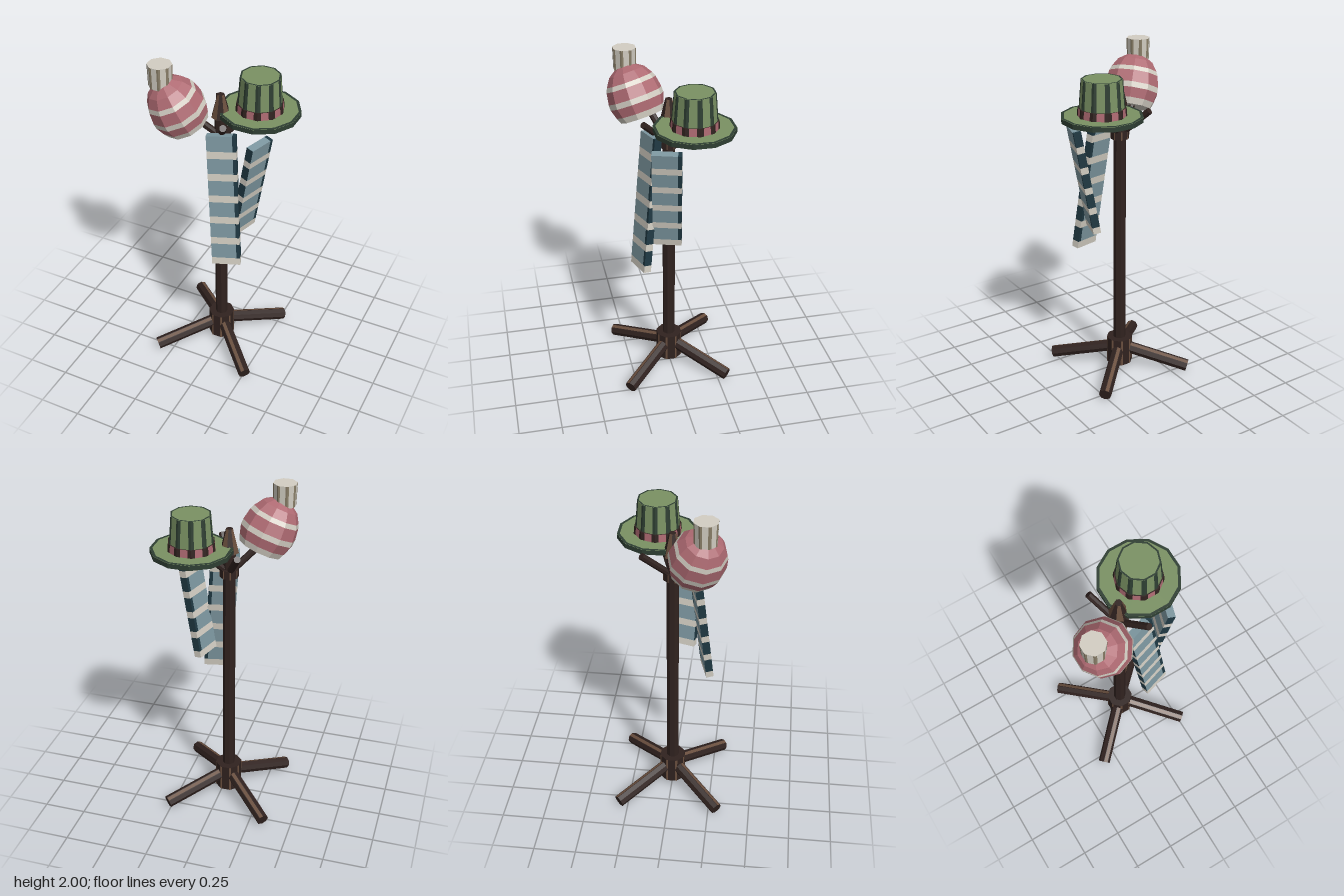
import * as THREE from 'three';

const mat = (name, color) => {
  const m = new THREE.MeshStandardMaterial({ color });
  m.name = name;
  return m;
};
const M = {
  darkWood: mat('dark wood', 0x30221f),
  wood: mat('worn wood', 0x6a4f3e),
  green: mat('green felt', 0x7a9163),
  darkGreen: mat('dark green felt', 0x2e3e32),
  pink: mat('pink wool', 0xae6a72),
  cream: mat('cream wool', 0xd2cdc2),
  taupe: mat('taupe wool', 0x8a7f69),
  blue: mat('blue knit', 0x7d97a0),
  darkBlue: mat('dark blue knit', 0x1f3842),
};
const V = (x, y, z) => new THREE.Vector3(x, y, z);
const PX = -0.035; // pole position in x

function add(parent, name, geo, material, x = 0, y = 0, z = 0) {
  const mesh = new THREE.Mesh(geo, material);
  mesh.name = name;
  mesh.position.set(x, y, z);
  parent.add(mesh);
  return mesh;
}

// Faceted frustum on y = 0..h; each facet has edge strips of relative width e.
// pick(facet, column) returns the slot: 0 face, 1 accent, 2 cap.
function panels(n, rb, rt, h, e, pick = (i, k) => (k === 1 ? 0 : 1), rot = 0) {
  const lists = [[], [], []];
  const corner = (i, r, y) => {
    const a = rot + (i / n) * Math.PI * 2;
    return V(Math.sin(a) * r, y, Math.cos(a) * r);
  };
  const put = (slot, ...pts) => pts.forEach((p) => lists[slot].push(p.x, p.y, p.z));
  const cuts = e > 0 ? [0, e, 1 - e, 1] : [0, 1];
  for (let i = 0; i < n; i++) {
    const b0 = corner(i, rb, 0), b1 = corner(i + 1, rb, 0);
    const t0 = corner(i, rt, h), t1 = corner(i + 1, rt, h);
    for (let k = 0; k < cuts.length - 1; k++) {
      const a = b0.clone().lerp(b1, cuts[k]), b = b0.clone().lerp(b1, cuts[k + 1]);
      const c = t0.clone().lerp(t1, cuts[k + 1]), d = t0.clone().lerp(t1, cuts[k]);
      put(pick(i, k), a, b, c, a, c, d);
    }
    put(2, V(0, h, 0), t0, t1, V(0, 0, 0), b1, b0);
  }
  const geo = new THREE.BufferGeometry();
  geo.setAttribute('position', new THREE.Float32BufferAttribute(lists.flat(), 3));
  let start = 0;
  lists.forEach((l, s) => {
    if (l.length) geo.addGroup(start, l.length / 3, s);
    start += l.length / 3;
  });
  geo.computeVertexNormals();
  return geo;
}

const flat = (geo) => {
  const g = geo.toNonIndexed();
  g.computeVertexNormals();
  return g;
};

// Aim a y-aligned part from one point to another
function aim(mesh, from, to) {
  mesh.position.copy(from);
  mesh.quaternion.setFromUnitVectors(V(0, 1, 0), to.clone().sub(from).normalize());
}

function buildStand(root) {
  const g = new THREE.Group();
  g.name = 'stand';
  const woods = [M.darkWood, M.wood, M.darkWood];
  add(g, 'pole', panels(8, 0.038, 0.036, 1.6, 0, () => 0, Math.PI / 8), woods, PX, 0.05, 0);
  add(g, 'hub', panels(8, 0.08, 0.08, 0.17, 0.12, undefined, Math.PI / 8), woods, PX, 0.03, 0);
  add(g, 'collar', panels(8, 0.055, 0.055, 0.05, 0.1, undefined, Math.PI / 8), woods, PX, 1.49, 0);
  add(g, 'finial', panels(8, 0.055, 0.02, 0.14, 0, (i) => i % 2, 0), woods, PX, 1.64, 0);

  // Four sloping legs with a worn facet on top
  for (const sx of [-1, 1]) for (const sz of [-1, 1]) {
    const from = V(PX, 0.14, 0), to = V(PX + sx * 0.302, 0.037, sz * 0.302);
    const up = Math.atan2(-sx, -sz);
    const worn = (Math.round((up / (Math.PI * 2)) * 8) + (sx * sz > 0 ? 0 : 7) + 8) % 8;
    const pick = (i, k) => (i === worn && k === 1 ? 1 : 0);
    aim(add(g, 'leg', panels(8, 0.037, 0.037, from.distanceTo(to), 0.14, pick), woods), from, to);
  }
  // Four pegs rising from the collar
  for (let i = 0; i < 4; i++) {
    const a = 0.51 + (i * Math.PI) / 2;
    const from = V(PX, 1.51, 0);
    const to = V(PX + Math.sin(a) * 0.185, 1.675, Math.cos(a) * 0.185);
    aim(add(g, 'peg', panels(8, 0.02, 0.02, from.distanceTo(to), 0, () => 0), woods), from, to);
  }
  root.add(g);
}

function buildBrimmedHat(root) {
  const g = new THREE.Group();
  g.name = 'brimmedHat';
  g.position.set(0.152, 1.655, -0.105);
  const r12 = Math.PI / 12, r10 = Math.PI / 10;
  add(g, 'brim', panels(12, 0.231, 0.231, 0.028, 0, () => 0, r12), [M.darkGreen, M.darkGreen, M.green]);
  // Dark border on the upper side of the brim
  add(g, 'brimBorder', flat(new THREE.RingGeometry(0.215, 0.231, 12, 1, r12).rotateX(-Math.PI / 2)),
    M.darkGreen, 0, 0.0295, 0);
  add(g, 'hatBand', panels(10, 0.138, 0.134, 0.045, 0.25, undefined, r10),
    [M.pink, M.darkWood, M.darkWood], 0, 0.028, 0);
  add(g, 'crown', panels(10, 0.131, 0.115, 0.202, 0.2, undefined, r10),
    [M.green, M.darkGreen, M.green], 0, 0.028, 0);
  add(g, 'crownBorder', flat(new THREE.RingGeometry(0.105, 0.115, 10, 1, 0).rotateX(-Math.PI / 2)),
    M.darkGreen, 0, 0.2315, 0);
  root.add(g);
}

function buildWoolHat(root) {
  const g = new THREE.Group();
  g.name = 'woolHat';
  const dome = new THREE.Group();
  dome.name = 'dome';
  // Bands as [radius, height] profiles from rim to crown
  const bands = [
    ['rim', M.cream, [[0, 0], [0.128, 0], [0.143, 0.035]]],
    ['lowerWool', M.pink, [[0.143, 0.035], [0.16, 0.09]]],
    ['lowerStripe', M.cream, [[0.16, 0.09], [0.16, 0.122]]],
    ['middleWool', M.pink, [[0.16, 0.122], [0.148, 0.19]]],
    ['upperStripe', M.cream, [[0.148, 0.19], [0.137, 0.216]]],
    ['upperWool', M.pink, [[0.137, 0.216], [0.105, 0.265], [0.055, 0.298], [0, 0.3]]],
  ];
  for (const [name, m, pts] of bands) {
    const profile = pts.map((p) => new THREE.Vector2(p[0], p[1]));
    add(dome, name, flat(new THREE.LatheGeometry(profile, 10)), m);
  }
  aim(dome, V(-0.18, 1.623, 0.122), V(-0.29, 1.91, 0.207));
  g.add(dome);
  add(g, 'bobble', panels(8, 0.065, 0.069, 0.13, 0.2, undefined, Math.PI / 8),
    [M.cream, M.taupe, M.cream], -0.295, 1.87, 0.2);
  root.add(g);
}

// Striped scarf end hanging from top to bottom; yaw turns its broad face
function buildScarf(root, name, top, bottom, yaw, stripes) {
  const g = new THREE.Group();
  g.name = name;
  const w = 0.165, t = 0.045;
  const yAxis = top.clone().sub(bottom).normalize();
  const zAxis = V(Math.sin(yaw), 0, Math.cos(yaw));
  zAxis.addScaledVector(yAxis, -zAxis.dot(yAxis)).normalize();
  const xAxis = new THREE.Vector3().crossVectors(yAxis, zAxis);
  g.quaternion.setFromRotationMatrix(new THREE.Matrix4().makeBasis(xAxis, yAxis, zAxis));
  g.position.copy(bottom);

  const step = top.distanceTo(bottom) / stripes, c = step * 0.32, b = step - c;
  const sides = [M.darkBlue, M.darkBlue, M.blue, M.blue, M.blue, M.blue];
  const edge = 0.02;
  for (let i = 0; i < stripes; i++) {
    add(g, 'creamStripe', new THREE.BoxGeometry(w, c, t), M.cream, 0, i * step + c / 2, 0);
    const y = i * step + c + b / 2;
    add(g, 'blueStripe', new THREE.BoxGeometry(w - edge, b, t), sides, -edge / 2, y, 0);
    add(g, 'darkEdge', new THREE.BoxGeometry(edge, b, t), M.darkBlue, w / 2 - edge / 2, y, 0);
  }
  root.add(g);
}

export function createModel() {
  const root = new THREE.Group();
  root.name = 'hatStand';
  buildStand(root);
  buildBrimmedHat(root);
  buildWoolHat(root);
  buildScarf(root, 'longScarfEnd', V(0.02, 1.595, 0.11), V(0.095, 0.787, 0.195), 0.3, 6);
  buildScarf(root, 'shortScarfEnd', V(0.232, 1.575, 0.067), V(0.122, 0.95, 0.04), 1.28, 5);
  return root;
}
